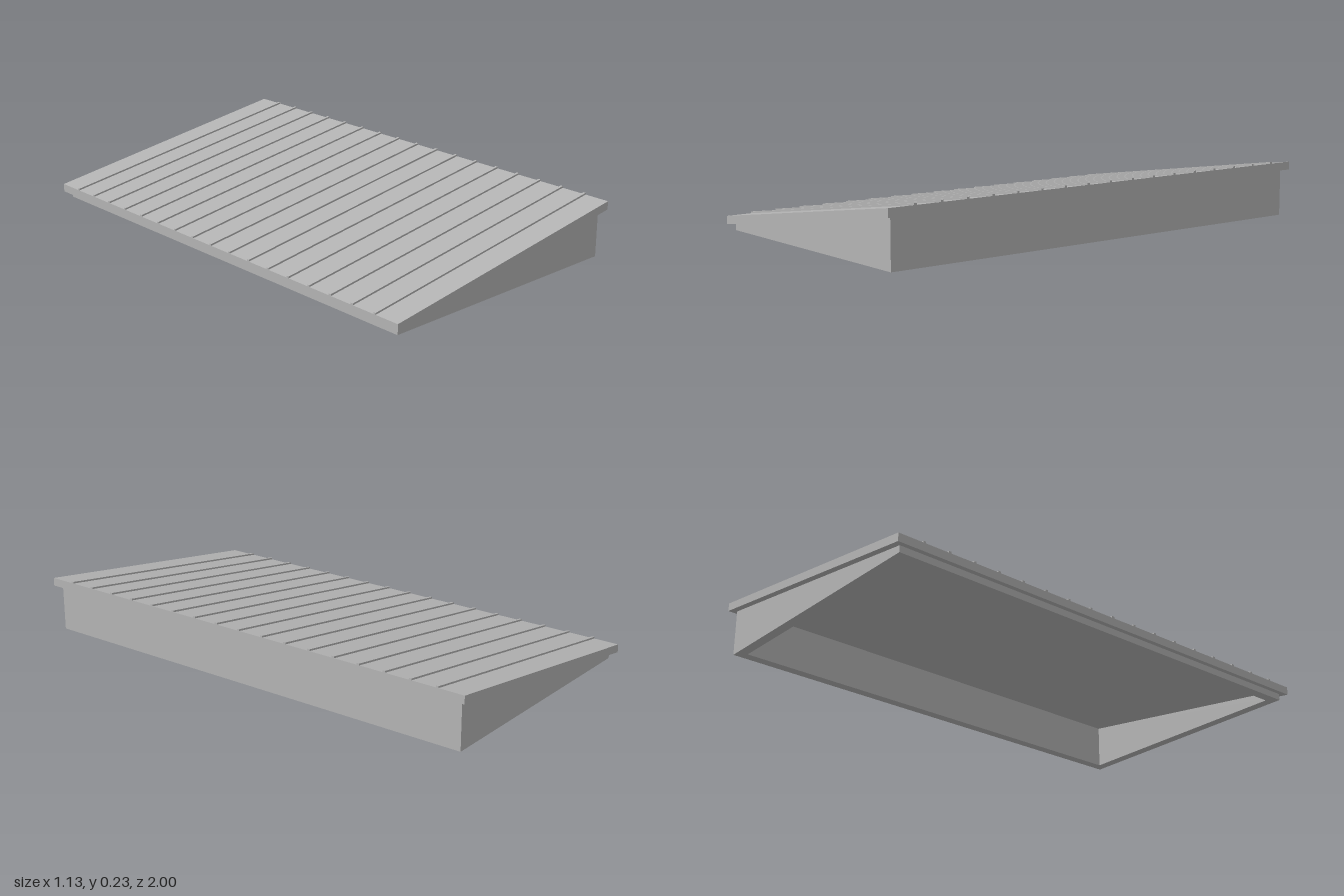
import * as THREE from 'three';

export function createModel() {
  const model = new THREE.Group();
  const grey = new THREE.MeshStandardMaterial({ color: 0xb3b3b3 });
  grey.name = 'plain grey';

  // Underside height of the sloping deck at x
  const slope = (x) => 0.107 + 0.1487 * x;

  // Prism between x0..x1 and z0..z1; the top, and optionally the bottom, follow the slope
  function prism(name, x0, x1, z0, z1, topOffset, bottomOffset = null) {
    const bottom = (x) => (bottomOffset === null ? 0 : slope(x) + bottomOffset);
    const shape = new THREE.Shape([
      new THREE.Vector2(x0, bottom(x0)),
      new THREE.Vector2(x1, bottom(x1)),
      new THREE.Vector2(x1, slope(x1) + topOffset),
      new THREE.Vector2(x0, slope(x0) + topOffset),
    ]);
    const geometry = new THREE.ExtrudeGeometry(shape, { depth: z1 - z0, bevelEnabled: false });
    geometry.translate(0, 0, z0);
    const mesh = new THREE.Mesh(geometry, grey);
    mesh.name = name;
    model.add(mesh);
  }

  // Overhanging sloped deck
  const halfX = 0.565;
  prism('deck', -halfX, halfX, -1, 1, 0.033, 0);

  // Hollow base: wedge-shaped side walls, with low and high end walls
  const bx = 0.54, bz = 0.975, wall = 0.04;
  prism('frontWall', -bx, bx, bz - wall, bz, 0);
  prism('backWall', -bx, bx, -bz, -bz + wall, 0);
  prism('lowWall', -bx, -bx + wall, -bz + wall, bz - wall, 0);
  prism('highWall', bx - wall, bx, -bz + wall, bz - wall, 0);

  // Thin raised ribs running up the slope
  const bays = 18, ribWidth = 0.011;
  for (let i = 1; i < bays; i++) {
    const z = -1 + (2 * i) / bays;
    prism('rib', -halfX, halfX, z - ribWidth / 2, z + ribWidth / 2, 0.04, 0.033);
  }
  return model;
}
